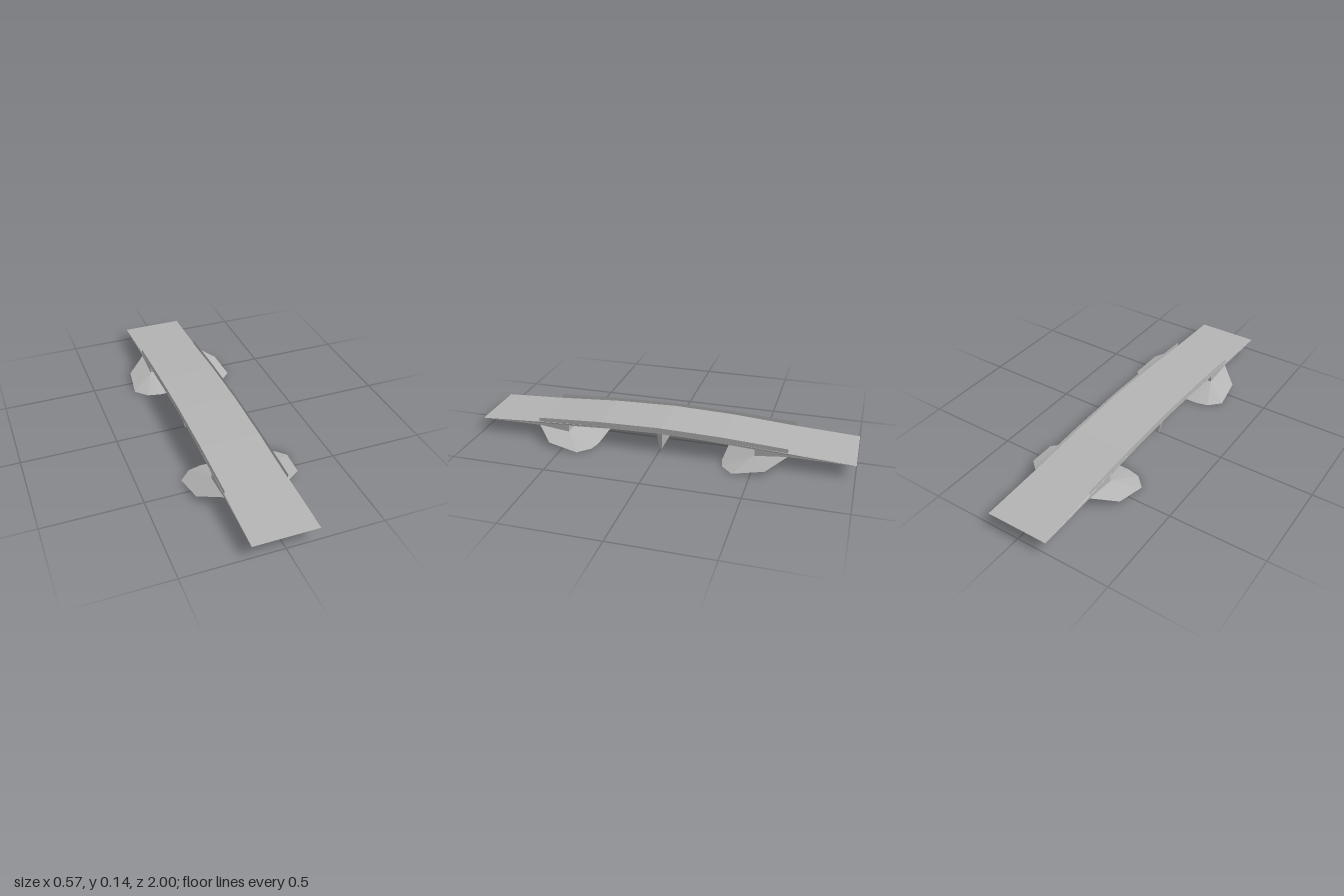
import * as THREE from 'three';

const HALF = 0.16; // half width of the deck

function mat(hex) {
  const m = new THREE.MeshStandardMaterial({ color: hex, side: THREE.DoubleSide, flatShading: true });
  m.name = 'concrete grey';
  return m;
}

// Mirror half a (z, y) profile, given from the outer end to the middle
function mirrored(half) {
  const other = half.slice(0, -1).reverse().map(([z, y]) => [-z, y]);
  return [...half, ...other];
}

// Closed shape from an upper and a lower profile
function profileShape(top, bottom) {
  const pts = [...mirrored(top), ...mirrored(bottom).reverse()];
  return new THREE.Shape(pts.map(([z, y]) => new THREE.Vector2(z, y)));
}

// One quarter of an end bank: wing, slope, end wall and cheek
function bankQuarter(sx, sz) {
  const top = [HALF, 0.05, 0.5], low = [HALF, 0.036, 0.5];
  const rim = [
    [HALF, 0.068, 0.667], [0.265, 0.025, 0.57], [0.285, 0, 0.41],
    [0.225, 0, 0.35], [HALF, 0, 0.335], [0, 0, 0.335],
  ];
  const tris = [];
  const upper = [...rim, [0, 0.05, 0.5]], under = [...rim, [0, 0.036, 0.5]];
  for (let i = 0; i < rim.length; i++) {
    tris.push([top, upper[i], upper[i + 1]]);
    tris.push([low, under[i + 1], under[i]]);
  }
  // upright end wall under the deck
  const a = [0, 0.036, 0.5], c = [HALF, 0.068, 0.5], d = [0, 0.068, 0.5];
  tris.push([a, low, c], [a, c, d]);
  // cheek closing the side of the recess
  tris.push([low, c, rim[0]]);
  const flip = sx * sz < 0;
  const pos = [];
  for (const t of tris) {
    for (const [x, y, z] of flip ? [t[0], t[2], t[1]] : t) pos.push(x * sx, y, z * sz);
  }
  const g = new THREE.BufferGeometry();
  g.setAttribute('position', new THREE.Float32BufferAttribute(pos, 3));
  g.computeVertexNormals();
  return g;
}

export function createModel() {
  const group = new THREE.Group();
  group.name = 'footbridge';
  const concrete = mat(0xb4b4b4);
  const add = (geo, name, parent = group) => {
    const m = new THREE.Mesh(geo, concrete);
    m.name = name;
    parent.add(m);
    return m;
  };

  // Arched deck, tapering to thin ends that flare slightly
  const deckTop = [[1, 0.069], [0.667, 0.089], [0.333, 0.112], [0, 0.122]];
  const underside = [[1, 0.068], [0.5, 0.068], [0.5, 0.085], [0.25, 0.099], [0, 0.105]];
  const deck = new THREE.ExtrudeGeometry(profileShape(deckTop, underside), { depth: HALF * 2, bevelEnabled: false });
  deck.translate(0, 0, -HALF);
  deck.rotateY(-Math.PI / 2);
  const p = deck.attributes.position;
  for (let i = 0; i < p.count; i++) {
    if (Math.abs(p.getZ(i)) > 0.99) p.setX(i, p.getX(i) * 1.04);
  }
  deck.computeVertexNormals();
  add(deck, 'deck');

  // Thin parapets along both sides
  const railTop = [[0.667, 0.11], [0.333, 0.129], [0, 0.137]];
  const railLow = [[0.667, 0.068], [0.5, 0.05], [0.5, 0.085], [0.25, 0.099], [0, 0.105]];
  for (const s of [1, -1]) {
    const rail = new THREE.ShapeGeometry(profileShape(railTop, railLow));
    rail.rotateY(s * Math.PI / 2);
    rail.translate(s * (HALF + 0.002), 0, 0);
    add(rail, s > 0 ? 'leftParapet' : 'rightParapet');
  }

  // Tapered pier in the middle
  const pier = new THREE.BoxGeometry(0.3, 0.108, 0.032);
  const q = pier.attributes.position;
  for (let i = 0; i < q.count; i++) {
    if (q.getY(i) < 0) {
      q.setX(i, q.getX(i) * 0.84);
      q.setZ(i, q.getZ(i) * 0.35);
    }
  }
  pier.translate(0, 0.054, 0);
  pier.computeVertexNormals();
  add(pier, 'middlePier');

  // Faceted banks with side wings at both ends
  for (const sz of [1, -1]) {
    const bank = new THREE.Group();
    bank.name = sz > 0 ? 'frontBank' : 'backBank';
    for (const sx of [1, -1]) add(bankQuarter(sx, sz), sx > 0 ? 'leftWing' : 'rightWing', bank);
    group.add(bank);
  }
  return group;
}
